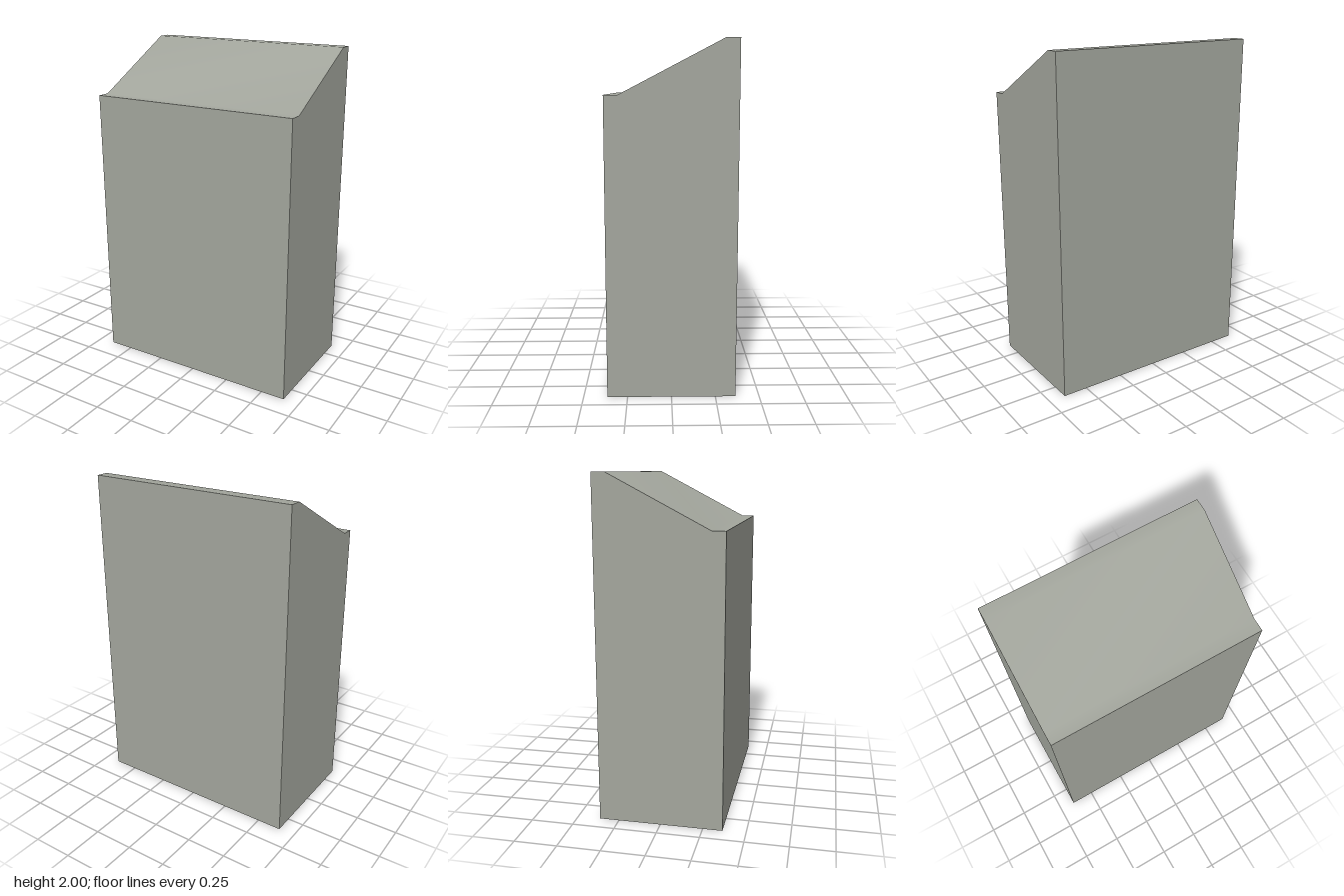
import * as THREE from 'three';
import { toCreasedNormals } from 'three/addons/utils/BufferGeometryUtils.js';

export function createModel() {
  const group = new THREE.Group();
  group.name = 'slopedBlock';
  const stone = new THREE.MeshStandardMaterial({ color: 0xa3a69d });
  stone.name = 'warm grey';

  const width = 1.3, depth = 0.73, lip = 0.077, low = 1.7, high = 2;
  const h = depth / 2;

  // Side profile (z, y): low front ledge, slope, high back ledge
  const profile = new THREE.Shape([
    [-h, 0], [h, 0], [h, low], [h - lip, low], [-h + lip, high], [-h, high],
  ].map(([z, y]) => new THREE.Vector2(z, y)));

  const geometry = new THREE.ExtrudeGeometry(profile, { depth: width, bevelEnabled: false });
  geometry.translate(0, 0, -width / 2);
  geometry.rotateY(-Math.PI / 2);

  // Soft shading between slope and ledges, sharp elsewhere
  const block = new THREE.Mesh(toCreasedNormals(geometry, Math.PI / 5), stone);
  block.name = 'block';
  group.add(block);
  return group;
}
